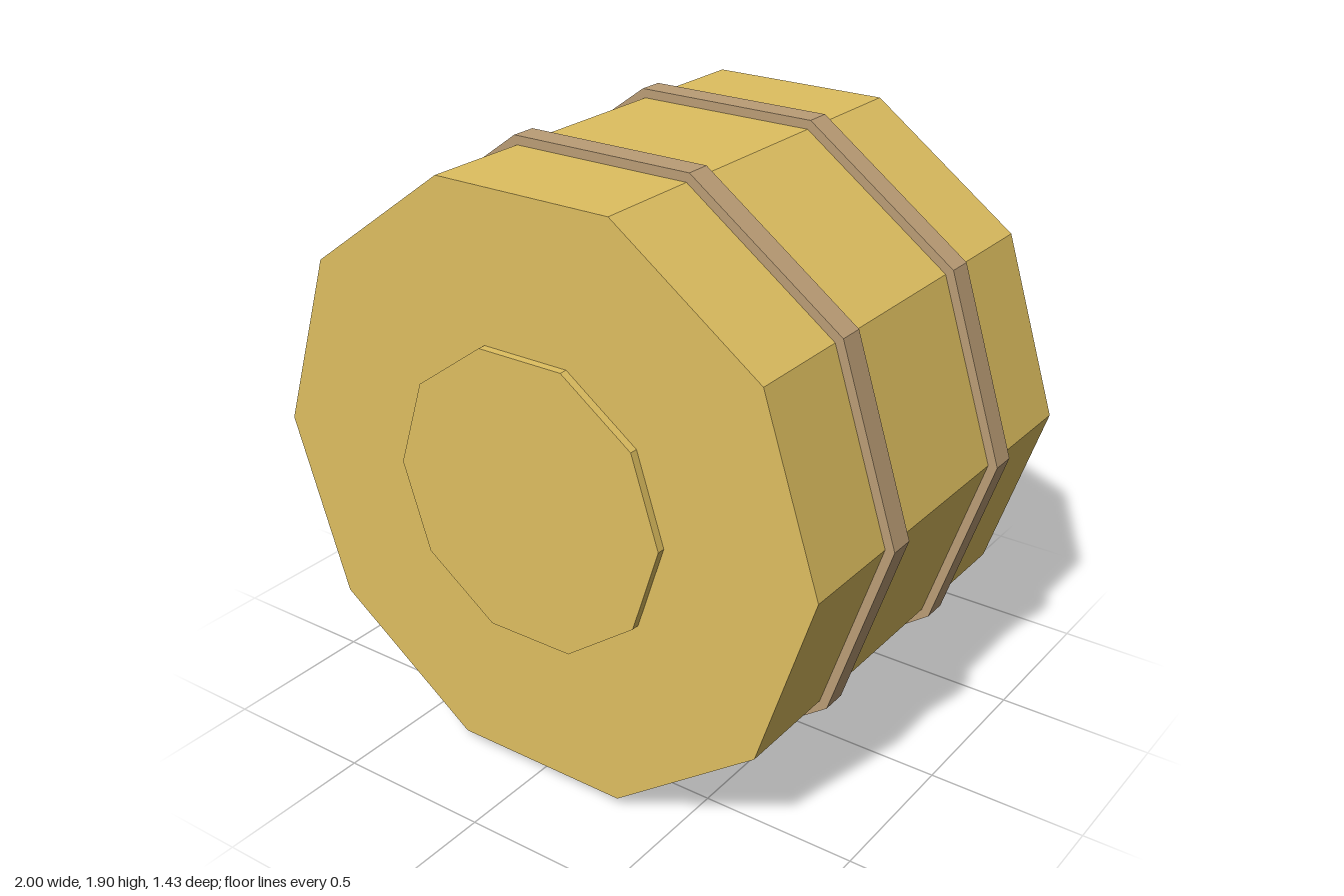
import * as THREE from 'three';

const SIDES = 10;
const CENTER_Y = Math.cos(Math.PI / SIDES); // apothem of the unit-radius hoops

export function createModel() {
  const group = new THREE.Group();
  group.name = 'barrel';

  const wood = new THREE.MeshStandardMaterial({ color: 0xdfbf60, flatShading: true });
  wood.name = 'goldenWood';
  const iron = new THREE.MeshStandardMaterial({ color: 0xbb9d76, flatShading: true });
  iron.name = 'brownHoop';

  // Ten-sided prism lying along z, with corners on the x axis
  function prism(name, radius, zBack, zFront, material) {
    const geometry = new THREE.CylinderGeometry(
      radius, radius, zFront - zBack, SIDES, 1, false, Math.PI / 2);
    geometry.rotateX(Math.PI / 2);
    const mesh = new THREE.Mesh(geometry, material);
    mesh.name = name;
    mesh.position.set(0, CENTER_Y, (zBack + zFront) / 2);
    group.add(mesh);
  }

  // Ten-sided ring fitted around the body
  function hoop(name, inner, outer, zBack, zFront) {
    const ring = (Path, r) => new Path(Array.from({ length: SIDES }, (_, i) => {
      const a = (i / SIDES) * Math.PI * 2;
      return new THREE.Vector2(r * Math.cos(a), r * Math.sin(a));
    }));
    const shape = ring(THREE.Shape, outer);
    shape.holes.push(ring(THREE.Path, inner));
    const geometry = new THREE.ExtrudeGeometry(shape, { depth: zFront - zBack, bevelEnabled: false });
    const mesh = new THREE.Mesh(geometry, iron);
    mesh.name = name;
    mesh.position.set(0, CENTER_Y, zBack);
    group.add(mesh);
  }

  prism('body', 0.97, -0.717, 0.691, wood);
  prism('lid', 0.475, 0.68, 0.717, wood);
  hoop('frontHoop', 0.96, 1, 0.259, 0.341);
  hoop('backHoop', 0.96, 1, -0.366, -0.284);

  return group;
}
